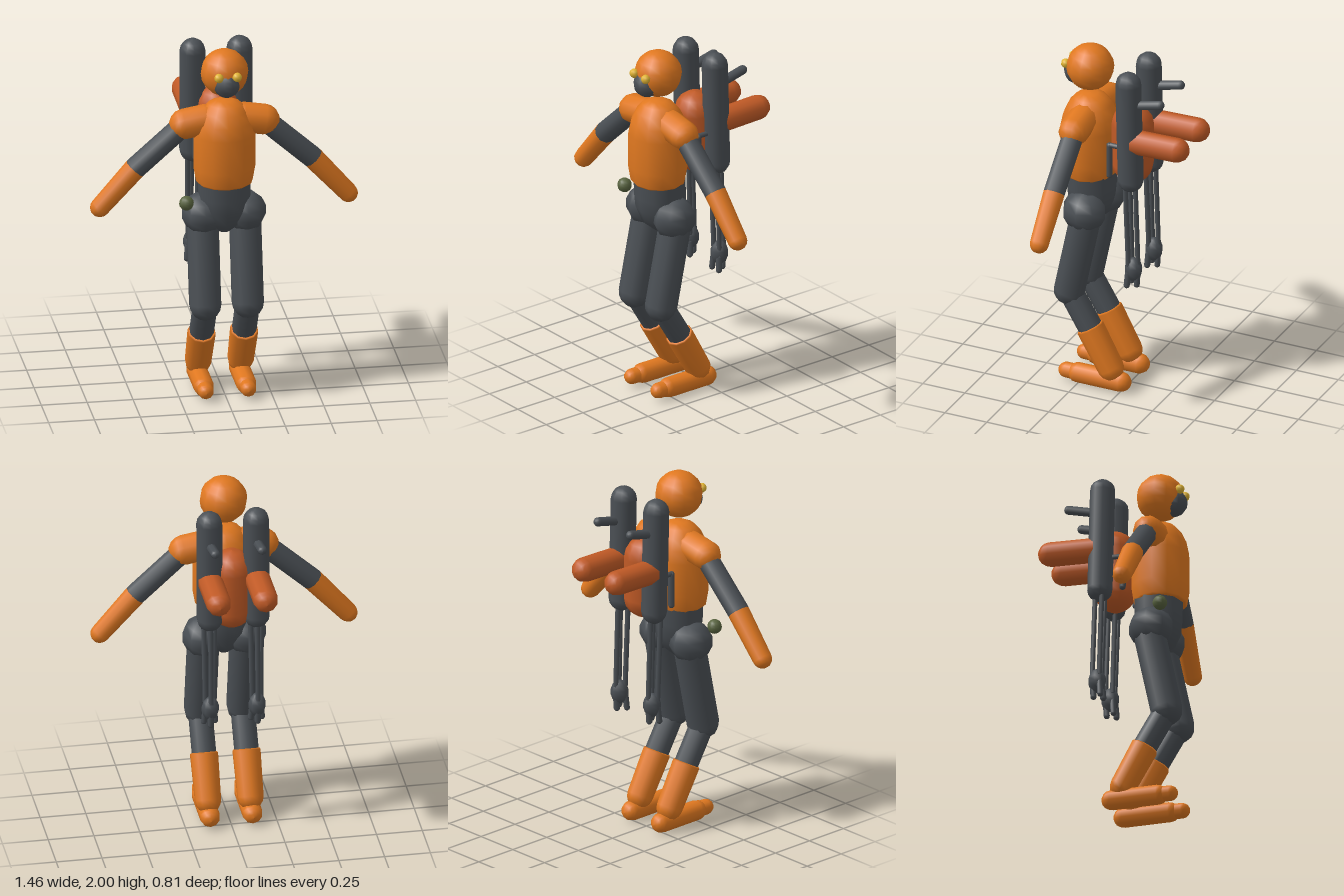
import * as THREE from 'three';

const mat = (name, color) => {
  const m = new THREE.MeshStandardMaterial({ color });
  m.name = name;
  return m;
};

export function createModel() {
  const orange = mat('orange', 0xe07820);
  const rust = mat('rust', 0xc05a26);
  const dark = mat('darkGrey', 0x4a4f54);
  const yellow = mat('yellow', 0xe0b434);
  const green = mat('olive', 0x58633f);
  const model = new THREE.Group();
  model.name = 'figure';

  const add = (name, geo, material, pos = [0, 0, 0], scale = [1, 1, 1], parent = model) => {
    const m = new THREE.Mesh(geo, material);
    m.name = name;
    m.position.set(...pos);
    m.scale.set(...scale);
    parent.add(m);
    return m;
  };

  const ball = (name, material, pos, r, parent = model, seg = 10) =>
    add(name, new THREE.SphereGeometry(1, seg, Math.ceil(seg * 0.8)), material, pos, r, parent);

  const lathe = (pts, seg) => new THREE.LatheGeometry(pts.map(p => new THREE.Vector2(...p)), seg);

  // Rod between the points a and b; each end is round (reaching r past the point) or flat
  const rod = (name, material, a, b, r, parent = model, { startRound = true, endRound = true, seg = 10, rEnd = r } = {}) => {
    const A = new THREE.Vector3(...a), dir = new THREE.Vector3(...b).sub(A), len = dir.length();
    const pts = [];
    if (startRound) for (let i = 0; i <= 4; i++) {
      const t = i * Math.PI / 8;
      pts.push([r * Math.sin(t), -r * Math.cos(t)]);
    } else pts.push([0, 0], [r * 0.94, 0], [r, 0.008]);
    if (endRound) for (let i = 0; i <= 4; i++) {
      const t = i * Math.PI / 8;
      pts.push([rEnd * Math.cos(t), len + rEnd * Math.sin(t)]);
    } else pts.push([rEnd, len - 0.008], [rEnd * 0.94, len], [0, len]);
    const m = add(name, lathe(pts, seg), material, a, [1, 1, 1], parent);
    m.quaternion.setFromUnitVectors(new THREE.Vector3(0, 1, 0), dir.normalize());
    return m;
  };

  // Head
  ball('head', orange, [0, 1.87, 0.24], [0.13, 0.13, 0.13], model, 12);
  ball('muzzle', dark, [0, 1.83, 0.315], [0.075, 0.075, 0.075]);

  // Torso, waist and pelvis
  add('torso', lathe([[0, 1.235], [0.145, 1.235], [0.155, 1.245], [0.17, 1.33], [0.17, 1.52],
    [0.155, 1.59], [0.125, 1.65], [0.09, 1.69], [0.045, 1.71], [0, 1.712]], 12),
    orange, [0, 0, 0.24], [1, 1, 0.94]);
  add('waist', lathe([[0, 0.935], [0.03, 0.945], [0.1, 1.0], [0.135, 1.08], [0.142, 1.15], [0.146, 1.25]], 10),
    dark, [0, 0, 0.23], [1, 1, 0.94]);
  ball('hipPouch', green, [-0.217, 1.145, 0.3], [0.04, 0.04, 0.04]);

  // Backpack
  rod('backpack', rust, [0, 1.345, -0.012], [0, 1.578, -0.012], 0.115, model, { seg: 12 });

  // Paired parts
  for (const s of [1, -1]) {
    const side = s > 0 ? 'left' : 'right';
    const part = name => {
      const g = new THREE.Group();
      g.name = side + name;
      model.add(g);
      return g;
    };

    ball(side + 'Eye', yellow, [s * 0.05, 1.885, 0.363], [0.026, 0.026, 0.026], model, 8);

    // Arm
    const arm = part('Arm');
    rod('shoulder', orange, [s * 0.1, 1.6, 0.235], [s * 0.218, 1.58, 0.235], 0.083, arm);
    rod('upperArm', dark, [s * 0.22, 1.575, 0.232], [s * 0.485, 1.335, 0.225], 0.06, arm);
    rod('forearm', orange, [s * 0.482, 1.338, 0.225], [s * 0.677, 1.118, 0.222], 0.06, arm,
      { startRound: false, rEnd: 0.053 });

    // Leg
    const leg = part('Leg'), x = s * 0.116;
    ball('hip', dark, [x, 1.05, 0.22], [0.115, 0.115, 0.125], leg, 8);
    rod('thigh', dark, [x, 1.0, 0.215], [x, 0.553, 0.308], 0.088, leg);
    rod('shin', dark, [x, 0.53, 0.295], [x, 0.33, 0.175], 0.067, leg);
    rod('boot', orange, [x, 0.35, 0.188], [x, 0.125, 0.062], 0.077, leg, { startRound: false, rEnd: 0.072 });
    rod('foot', orange, [x, 0.055, 0], [x, 0.055, 0.26], 0.055, leg);
    rod('toe', orange, [x, 0.055, 0.2], [x, 0.055, 0.328], 0.043, leg);

    // Back-mounted pod with thruster and stubs
    const pod = part('Pod'), px = s * 0.128;
    rod('podBody', dark, [px, 1.312, -0.062], [px, 1.885, -0.047], 0.071, pod);
    rod('thruster', rust, [px, 1.545, -0.06], [px, 1.552, -0.338], 0.068, pod);
    rod('rearStub', dark, [px, 1.765, -0.08], [px, 1.802, -0.235], 0.026, pod, { seg: 8 });
    rod('frontBracket', dark, [px, 1.492, 0], [px, 1.492, 0.065], 0.014, pod, { seg: 8 });
    rod('frontHandle', dark, [px, 1.31, 0.065], [px, 1.488, 0.065], 0.018, pod, { seg: 8 });

    // Hanging claw: three rods, a palm and three fingers
    for (const [dx, z] of [[0.03, -0.042], [-0.03, -0.042], [0, -0.088]]) {
      rod('clawRod', dark, [px + dx, 1.3, z], [px + dx * 0.8, 0.8, z - 0.017], 0.014, pod, { seg: 8 });
      rod('clawFinger', dark, [px + dx * 0.8, 0.75, z - 0.015], [px + dx, 0.677, z - 0.01], 0.017, pod, { seg: 8 });
    }
    ball('clawPalm', dark, [px, 0.768, -0.078], [0.048, 0.068, 0.05], pod, 8);
  }
  return model;
}
